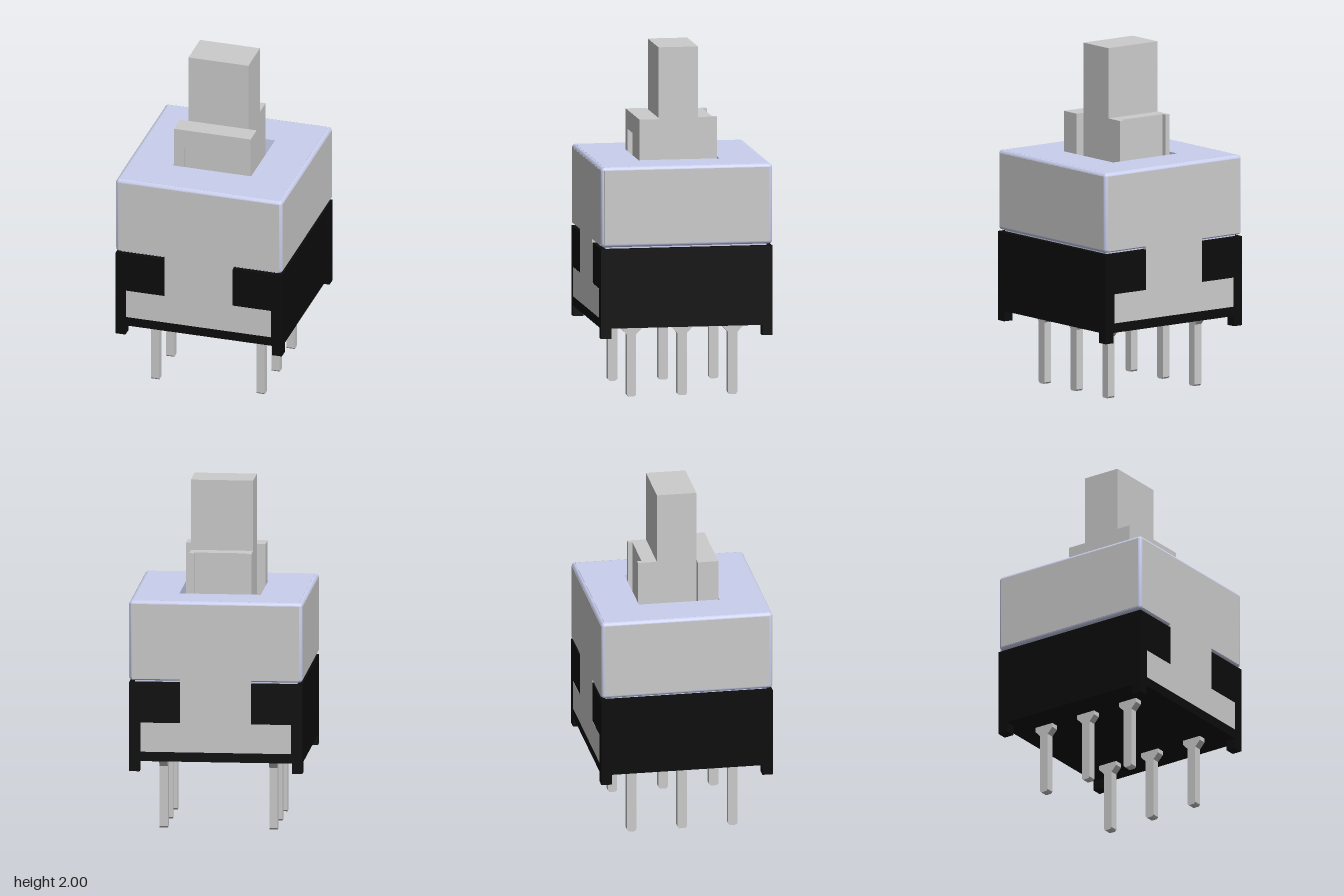
import * as THREE from 'three';
import { toCreasedNormals } from 'three/addons/utils/BufferGeometryUtils.js';

const grey = new THREE.MeshStandardMaterial({ color: 0xcccccc });
const black = new THREE.MeshStandardMaterial({ color: 0x0c0c0c });
const lilac = new THREE.MeshStandardMaterial({ color: 0xcacfee });

const polygon = (pts) => new THREE.Shape(pts.map(([x, y]) => new THREE.Vector2(x, y)));
const mirrored = (pts) => pts.concat(pts.map(([x, y]) => [-x, y]).reverse());
const extrude = (shape, depth) =>
  new THREE.ExtrudeGeometry(shape, { depth, bevelEnabled: false });

function add(parent, name, geometry, material) {
  const mesh = new THREE.Mesh(geometry, material);
  mesh.name = name;
  parent.add(mesh);
  return mesh;
}

// Box given by its lower and upper limits on each axis
function box(parent, name, material, [x0, x1], [y0, y1], [z0, z1]) {
  const mesh = add(parent, name, new THREE.BoxGeometry(x1 - x0, y1 - y0, z1 - z0), material);
  mesh.position.set((x0 + x1) / 2, (y0 + y1) / 2, (z0 + z1) / 2);
  return mesh;
}

// Rounded rim of the lid: square loops that follow a rounded edge at top and bottom
function lidRim(y0, y1, r) {
  const rings = [], pos = [], index = [], n = 4;
  for (let i = 0; i <= n; i++) {
    const a = (i / n) * Math.PI / 2;
    rings.push([r * (1 - Math.sin(a)), y1 - r * (1 - Math.cos(a))]);
  }
  for (const [inset, y] of rings.slice().reverse()) rings.push([inset, y0 + y1 - y]);
  const count = 4 * (n + 1);
  for (const [inset, y] of rings) {
    const c = 0.5 - r, cr = Math.max(r - inset, 0.001);
    for (let q = 0; q < 4; q++) {
      const sx = q === 0 || q === 3 ? 1 : -1, sz = q < 2 ? -1 : 1;
      for (let k = 0; k <= n; k++) {
        const a = (q + k / n) * Math.PI / 2;
        pos.push(sx * c + cr * Math.cos(a), y, sz * c - cr * Math.sin(a));
      }
    }
  }
  for (let i = 0; i < rings.length - 1; i++) {
    for (let j = 0; j < count; j++) {
      const a = i * count + j, b = i * count + (j + 1) % count;
      index.push(a, a + count, b, b, a + count, b + count);
    }
  }
  const g = new THREE.BufferGeometry();
  g.setAttribute('position', new THREE.Float32BufferAttribute(pos, 3));
  g.setIndex(index);
  return toCreasedNormals(g, 0.7);
}

function createBody() {
  const body = new THREE.Group();
  body.name = 'body';
  box(body, 'bodyCore', black, [-0.5, 0.5], [0.42, 0.88], [-0.47, 0.47]);
  // Front and back walls with a T-shaped slot for the cover tab
  const wall = polygon(mirrored([
    [0.5, 0.42], [0.5, 0.88], [0.205, 0.88], [0.205, 0.645], [0.435, 0.645], [0.435, 0.475],
  ].reverse()).length ? [
    [-0.5, 0.42], [0.5, 0.42], [0.5, 0.88], [0.205, 0.88], [0.205, 0.645], [0.435, 0.645],
    [0.435, 0.475], [-0.435, 0.475], [-0.435, 0.645], [-0.205, 0.645], [-0.205, 0.88], [-0.5, 0.88],
  ] : []);
  for (const turn of [0, Math.PI]) {
    const side = new THREE.Group();
    side.rotation.y = turn;
    add(side, 'slottedWall', extrude(wall, 0.03), black).position.z = 0.47;
    body.add(side);
  }
  // Corner feet
  for (const x of [-0.47, 0.47]) for (const z of [-0.47, 0.47]) {
    box(body, 'foot', black, [x - 0.03, x + 0.03], [0.36, 0.43], [z - 0.03, z + 0.03]);
  }
  return body;
}

function createCover() {
  const cover = new THREE.Group();
  cover.name = 'cover';
  add(cover, 'coverRim', lidRim(0.89, 1.355, 0.02), lilac);
  box(cover, 'coverNeck', lilac, [-0.47, 0.47], [0.88, 0.92], [-0.47, 0.47]);
  // Top with the square opening and its inner walls
  const square = (s) => [[-s, -s], [s, -s], [s, s], [-s, s]];
  const top = polygon(square(0.48));
  top.holes.push(polygon(square(0.235)));
  const plate = add(cover, 'coverTop', extrude(top, 0.464), lilac);
  plate.rotation.x = -Math.PI / 2;
  plate.position.y = 0.891;
  // Plain side faces; front and back run down into a T-shaped tab
  const tab = polygon(mirrored([
    [0.435, 0.475], [0.435, 0.645], [0.205, 0.645], [0.205, 0.9], [0.482, 0.9], [0.482, 1.337],
  ]));
  for (const turn of [0, Math.PI]) {
    const side = new THREE.Group();
    side.rotation.y = turn;
    add(side, 'tabbedPanel', extrude(tab, 0.031), grey).position.z = 0.47;
    box(side, 'sidePanel', grey, [0.47, 0.501], [0.908, 1.337], [-0.482, 0.482]);
    cover.add(side);
  }
  return cover;
}

function createPlunger() {
  const plunger = new THREE.Group();
  plunger.name = 'plunger';
  const base = 0.92;
  box(plunger, 'stem', grey, [-0.18, 0.18], [base, 2], [-0.12, 0.11]);
  // Front flange with a shallow recess
  box(plunger, 'flangeBack', grey, [-0.23, 0.23], [base, 1.59], [0.11, 0.2]);
  const frame = polygon(mirrored([
    [0.23, base], [0.23, 1.59], [0, 1.59],
  ]).filter((p, i) => i !== 3).concat([
    [-0.17, base], [-0.17, 1.48], [0.17, 1.48], [0.17, base],
  ]));
  add(plunger, 'flangeFrame', extrude(frame, 0.03), grey).position.z = 0.2;
  // Rear rib with a vertical groove
  box(plunger, 'rearRib', grey, [-0.18, 0.18], [base, 1.59], [-0.205, -0.12]);
  for (const s of [-1, 1]) {
    box(plunger, 'rearLip', grey, [s * 0.165 - 0.015, s * 0.165 + 0.015], [base, 1.59], [-0.23, -0.205]);
  }
  return plunger;
}

function createPins() {
  const pins = new THREE.Group();
  pins.name = 'pins';
  const profile = polygon(mirrored([
    [0.018, 0], [0.027, 0.01], [0.027, 0.36], [0.06, 0.395], [0.06, 0.43],
  ]));
  const geometry = extrude(profile, 0.048);
  geometry.translate(0, 0, -0.024);
  geometry.rotateY(Math.PI / 2);
  for (const x of [-0.317, 0.317]) for (const z of [-0.295, 0, 0.295]) {
    add(pins, 'pin', geometry, grey).position.set(x, 0, z);
  }
  return pins;
}

export function createModel() {
  const model = new THREE.Group();
  model.name = 'pushSwitch';
  model.add(createBody(), createCover(), createPlunger(), createPins());
  return model;
}
